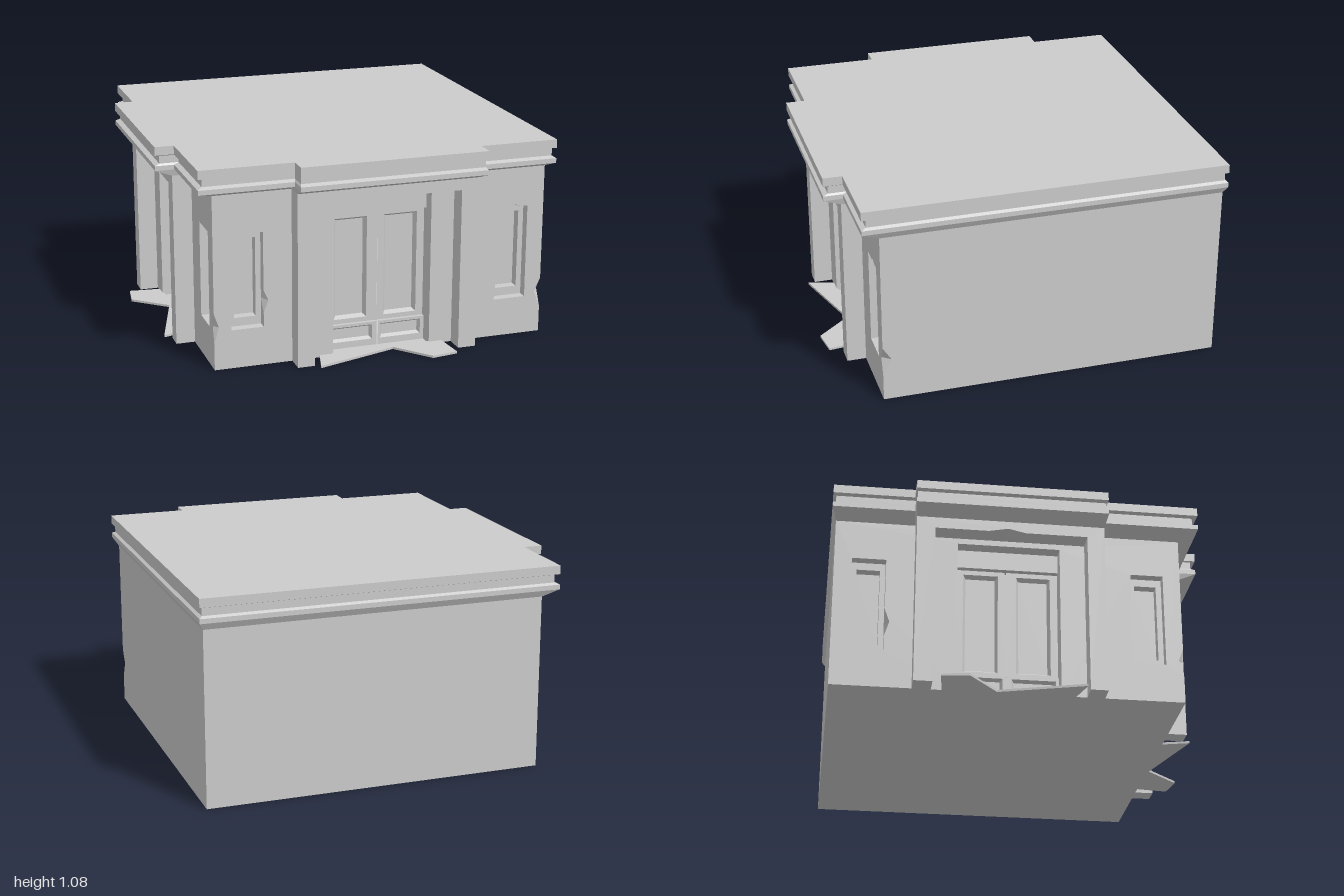
import * as THREE from 'three';

const material = new THREE.MeshStandardMaterial({ color: 0xcccccc, flatShading: true, side: THREE.DoubleSide });

const mesh = (geometry, name) => {
  const m = new THREE.Mesh(geometry, material);
  m.name = name;
  return m;
};

// Flat-shaded strip joining successive rings of [x, y, z] points
function loft(rings, closed = true) {
  const out = [];
  const tri = new THREE.Triangle();
  const add = (a, b, c) => {
    tri.set(new THREE.Vector3(...a), new THREE.Vector3(...b), new THREE.Vector3(...c));
    if (tri.getArea() > 1e-8) out.push(...a, ...b, ...c);
  };
  for (let r = 0; r + 1 < rings.length; r++) {
    const p = rings[r], q = rings[r + 1], n = p.length;
    for (let i = 0; i < (closed ? n : n - 1); i++) {
      const j = (i + 1) % n;
      add(p[i], p[j], q[j]);
      add(p[i], q[j], q[i]);
    }
  }
  const g = new THREE.BufferGeometry();
  g.setAttribute('position', new THREE.Float32BufferAttribute(out, 3));
  g.computeVertexNormals();
  return g;
}

const toShape = (pts) => new THREE.Shape(pts.map(([x, y]) => new THREE.Vector2(x, y)));
const at = (pts, z) => pts.map(([x, y]) => [x, y, z]);
const rect = (x0, x1, y0, y1) => [[x0, y0], [x1, y0], [x1, y1], [x0, y1]];

// Flat face with holes, facing +z
function face(pts, z, holes = []) {
  const s = toShape(pts);
  s.holes = holes.map(toShape);
  return new THREE.ShapeGeometry(s).translate(0, 0, z);
}

// Chipped edge after corner i: outline with the chip, and the same outline with the chip flattened
function chipped(pts, i, a, tip, foot, b) {
  const insert = (p) => [...pts.slice(0, i + 1), a, p, b, ...pts.slice(i + 1)];
  return { front: insert(tip), back: insert(foot) };
}

const WALL = 0.81, PORCH = 0.91, DOOR = 0.72, WALL_TOP = 0.92;

// Two-step window recess
function addWindow(group, outline, x0, x1) {
  const inner = rect(x0 + 0.028, x1 - 0.028, 0.25, 0.67);
  const outer = rect(x0, x1, 0.205, 0.71);
  group.add(
    mesh(loft([at(outline.front, WALL), at(outline.back, 0.76)]), 'windowReveal'),
    mesh(face(outer, 0.76, [inner]), 'windowFrame'),
    mesh(loft([at(inner, 0.76), at(inner, 0.71)]), 'windowInnerReveal'),
    mesh(face(inner, 0.71), 'windowPane'));
}

// Bevelled sunken panel, returns the hole outline it needs
function addPanel(group, x0, x1, y0, y1, bevel, z, depth, name) {
  const outer = rect(x0, x1, y0, y1);
  const inner = rect(x0 + bevel, x1 - bevel, y0 + bevel, y1 - bevel);
  group.add(mesh(loft([at(outer, z), at(inner, z - depth)]), name + 'Bevel'),
    mesh(face(inner, z - depth), name));
  return outer;
}

// One wall with porch, double door and two windows
function createFacade(name, leftChip, rightChip, cornerChip) {
  const g = new THREE.Group();
  g.name = name;

  // Windows, some with broken edges
  const leftRect = rect(-0.72, -0.55, 0.205, 0.71), rightRect = rect(0.715, 0.89, 0.205, 0.71);
  const plain = (p) => ({ front: p, back: p });
  const left = leftChip ? chipped(leftRect, 1, ...leftChip) : plain(leftRect);
  const right = rightChip.side === 'top'
    ? chipped(rightRect, 2, ...rightChip.points)
    : chipped(rightRect, 3, ...rightChip.points);
  addWindow(g, left, -0.72, -0.55);
  addWindow(g, right, 0.715, 0.89);

  // Wall skin with the doorway and chipped corners
  const rightEdge = cornerChip ? [[0.98, 0.14], [0.945, 0.23], [0.98, 0.3]] : [];
  const wall = [[-0.81, 0], [-0.18, 0], [-0.18, 0.83], [0.35, 0.83], [0.35, 0], [0.98, 0], ...rightEdge,
    [0.98, WALL_TOP], [-0.81, WALL_TOP], [-0.81, 0.3], [-0.785, 0.23], [-0.81, 0.14]];
  g.add(mesh(face(wall, WALL, [left.front, right.front]), 'wall'));

  // Porch: two piers and a lintel with a broken lower edge
  const porch = chipped([[-0.4, 0], [-0.31, 0], [-0.31, 0.86], [0.475, 0.86], [0.475, 0], [0.57, 0],
    [0.57, WALL_TOP], [-0.4, WALL_TOP]], 2, [0.01, 0.86], [0.1, 0.88], [0.1, 0.86], [0.2, 0.86]);
  g.add(mesh(face(porch.front, PORCH), 'porchFront'),
    mesh(loft([at(porch.front, PORCH), at(porch.back, WALL)]), 'porchSides'));

  // Door recess
  const recess = [[-0.18, 0], [-0.18, 0.83], [0.35, 0.83], [0.35, 0]];
  g.add(mesh(loft([at(recess, WALL), at(recess, DOOR - 0.03)], false), 'doorReveal'));
  const transom = new THREE.BoxGeometry(0.53, 0.1, 0.04).translate(0.085, 0.78, DOOR);
  g.add(mesh(transom, 'transom'));

  // Door leaves with a tall glazed panel and a low kick panel
  for (const [x0, x1, gx0, gx1, kx0, kx1] of [
    [-0.18, 0.087, -0.142, 0.035, -0.165, 0.062],
    [0.094, 0.35, 0.13, 0.31, 0.107, 0.33]]) {
    const leaf = new THREE.Group();
    leaf.name = 'doorLeaf';
    const z = DOOR - 0.01, kz = DOOR + 0.01;
    const pane = addPanel(leaf, gx0, gx1, 0.155, 0.705, 0.014, z, 0.025, 'doorPane');
    const kick = addPanel(leaf, kx0, kx1, 0.035, 0.115, 0.012, kz, 0.02, 'kickPanel');
    leaf.add(mesh(face(rect(x0, x1, 0.13, 0.73), z, [pane]), 'leafFrame'),
      mesh(face(rect(x0, x1, 0, 0.13), kz, [kick]), 'kickFrame'),
      mesh(loft([[[x0, 0.13, kz], [x1, 0.13, kz]], [[x0, 0.13, z], [x1, 0.13, z]]], false), 'kickLedge'));
    g.add(leaf);
  }
  g.add(mesh(face(rect(0.08, 0.1, 0, 0.73), DOOR - 0.03), 'doorGap'));

  // Broken paving slab on the ground at the door
  const slab = toShape([[-0.29, -0.95], [0.145, -0.82], [0.3, -1], [0.44, -0.98], [0.42, -0.8], [-0.25, -0.8]]);
  g.add(mesh(new THREE.ExtrudeGeometry(slab, { depth: 0.012, bevelEnabled: false }).rotateX(-Math.PI / 2),
    'brokenSlab'));
  return g;
}

// Roof plan, inset by f on the entrance sides and b on the plain sides
function plan(f, b, y) {
  const e = b / 2;
  return [[1 - b, -1 + b], [1 - b, 0.9 - f], [0.58 - e, 0.9 - f], [0.58 - e, 1 - f], [-0.41 + e, 1 - f],
    [-0.41 + e, 0.9 - f], [-0.9 + f, 0.9 - f], [-0.9 + f, 0.41 - e], [-1 + f, 0.41 - e],
    [-1 + f, -0.58 + e], [-0.9 + f, -0.58 + e], [-0.9 + f, -1 + b]].map(([x, z]) => [x, y, z]);
}

export function createModel() {
  const model = new THREE.Group();
  model.name = 'building';

  // Entrance walls: front, and its mirror image on the -x side
  model.add(createFacade('frontFacade',
    [[-0.55, 0.28], [-0.525, 0.345], [-0.55, 0.345], [-0.55, 0.4]],
    { side: 'top', points: [[0.85, 0.71], [0.82, 0.722], [0.82, 0.71], [0.79, 0.71]] }, true));
  const side = createFacade('sideFacade', null,
    { side: 'edge', points: [[0.715, 0.43], [0.69, 0.36], [0.715, 0.36], [0.715, 0.28]] }, false);
  side.scale.x = -1;
  side.rotation.y = -Math.PI / 2;
  model.add(side);

  // Plain walls and floor
  const plainWall = toShape([[-0.81, 0], [0.98, 0], [0.98, WALL_TOP], [-0.81, WALL_TOP],
    [-0.81, 0.3], [-0.765, 0.23], [-0.81, 0.14]]);
  model.add(mesh(new THREE.ShapeGeometry(plainWall).rotateY(Math.PI / 2).translate(0.98, 0, 0), 'plainSideWall'));
  model.add(mesh(new THREE.PlaneGeometry(1.79, WALL_TOP).rotateY(Math.PI)
    .translate(0.085, WALL_TOP / 2, -0.98), 'backWall'));
  model.add(mesh(new THREE.PlaneGeometry(1.79, 1.79).rotateX(Math.PI / 2).translate(0.085, 0, -0.085), 'floor'));

  // Chips broken out of the wall corners
  for (const [x, ax, bz] of [[0.98, 0.945, 0.765], [-0.81, -0.785, 0.785]]) {
    const top = [x, 0.3, WALL], bottom = [x, 0.14, WALL];
    model.add(mesh(loft([[top, [ax, 0.23, WALL], bottom], [top, [x, 0.23, bz], bottom]], false), 'cornerChip'));
  }

  // Cornice and flat roof
  const levels = [[0.09, 0.02, 0.92], [0, 0, 0.955], [0, 0, 0.98], [0.025, 0.015, 0.99],
    [0.025, 0.015, 1.03], [0, 0, 1.035], [0, 0, 1.08]];
  model.add(mesh(loft(levels.map((l) => plan(...l))), 'cornice'));
  const roof = toShape(plan(0, 0, 0).map(([x, , z]) => [x, -z]));
  model.add(mesh(new THREE.ShapeGeometry(roof).rotateX(-Math.PI / 2).translate(0, 1.08, 0), 'roof'));
  return model;
}
